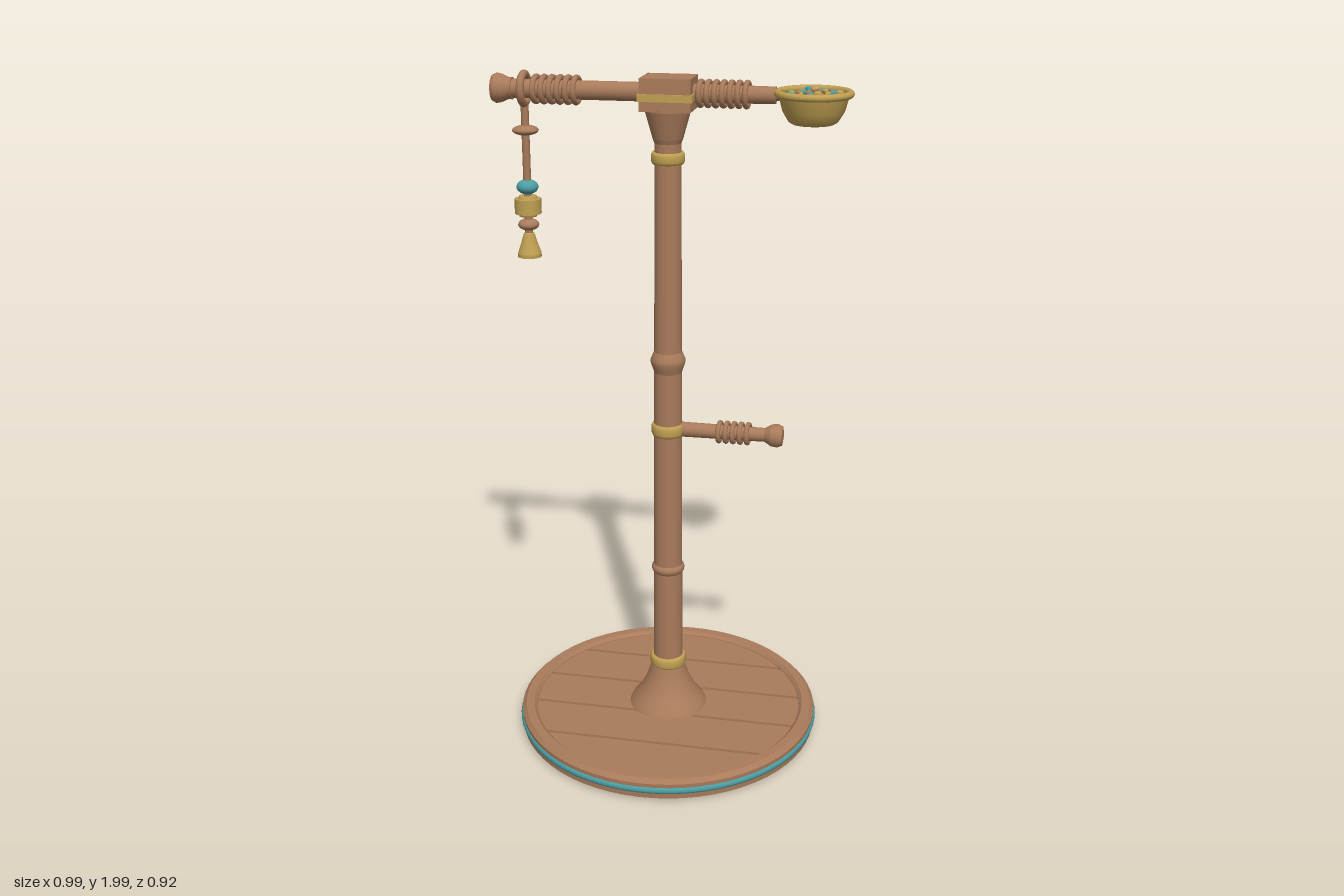
import * as THREE from 'three';

const paint = (name, color) => {
  const m = new THREE.MeshStandardMaterial({ color });
  m.name = name;
  return m;
};

export function createModel() {
  const model = new THREE.Group();
  model.name = 'perchStand';
  const wood = paint('wood', 0xa97b5b);
  const gold = paint('gold', 0xc0a052);
  const teal = paint('teal', 0x4b9ea3);
  const CX = -0.008; // post axis
  const BAR_Y = 1.948;

  const add = (name, geo, mat, x, y, z = 0, parent = model) => {
    const m = new THREE.Mesh(geo, mat);
    m.name = name;
    m.position.set(x, y, z);
    parent.add(m);
    return m;
  };
  const lathe = (pts, seg = 24) =>
    new THREE.LatheGeometry(pts.map(([r, y]) => new THREE.Vector2(r, y)), seg);
  // lathe made of separate straight bands, so the edges stay sharp
  const turned = (name, pts, mat, x, y, seg = 24, parent = model) => {
    const g = new THREE.Group();
    g.name = name;
    g.position.set(x, y, 0);
    for (let i = 0; i < pts.length - 1; i++)
      add(name + 'Band', lathe([pts[i], pts[i + 1]], seg), mat, 0, 0, 0, g);
    parent.add(g);
    return g;
  };
  // row of slightly tilted rope coils around a bar along x
  const coils = (name, x0, x1, n, y, r, tube) => {
    const geo = new THREE.TorusGeometry(r, tube, 8, 20);
    for (let i = 0; i < n; i++) {
      const c = add(name, geo, wood, x0 + (x1 - x0) * i / (n - 1), y);
      c.rotation.y = Math.PI / 2 - 0.09;
    }
  };
  const barX = (name, r0, r1, x0, x1, y) => {
    const c = add(name, new THREE.CylinderGeometry(r1, r0, x1 - x0, 16), wood, (x0 + x1) / 2, y);
    c.rotation.z = -Math.PI / 2;
  };

  // round base with raised rim
  turned('base', [[0, 0.006], [0.443, 0.006], [0.455, 0.014], [0.457, 0.062], [0.445, 0.074],
    [0.42, 0.074], [0.41, 0.064], [0.41, 0.05], [0, 0.05]], wood, CX, 0, 64);
  const band = add('baseBand', new THREE.TorusGeometry(0.449, 0.013, 10, 72), teal, CX, 0.04);
  band.rotation.x = Math.PI / 2;

  // floor planks cut to the circle, with gaps between them
  const R = 0.411, edges = [-0.25, -0.084, 0.081, 0.247], gap = 0.006;
  for (let i = 0; i <= edges.length; i++) {
    const a = i === 0 ? -R : edges[i - 1] + gap;
    const b = i === edges.length ? R : edges[i] - gap;
    const s = new THREE.Shape();
    const side = [];
    for (let k = 0; k <= 16; k++) {
      const v = a + (b - a) * k / 16;
      side.push([Math.sqrt(Math.max(0, R * R - v * v)), v]);
    }
    side.forEach(([u, v], k) => (k ? s.lineTo(u, -v) : s.moveTo(u, -v)));
    side.reverse().forEach(([u, v]) => s.lineTo(-u, -v));
    const p = add('plank', new THREE.ExtrudeGeometry(s, { depth: 0.014, bevelEnabled: false }), wood, CX, 0.048);
    p.rotation.x = -Math.PI / 2;
  }

  // flared foot, post and its swollen joints
  add('foot', lathe([[0.12, 0.06], [0.113, 0.075], [0.09, 0.105], [0.07, 0.14], [0.056, 0.18], [0.048, 0.215]], 28), wood, CX, 0);
  add('post', lathe([[0.045, 0.2], [0.043, 0.53], [0.041, 1.0], [0.039, 1.4], [0.037, 1.84]]), wood, CX, 0);
  add('joint', lathe([[0.042, 0.515], [0.048, 0.522], [0.05, 0.53], [0.048, 0.538], [0.042, 0.545]]), wood, CX, 0);
  add('joint', lathe([[0.04, 1.155], [0.045, 1.17], [0.05, 1.185], [0.05, 1.195], [0.045, 1.207], [0.039, 1.22]]), wood, CX, 0);
  for (const [y, r, h] of [[0.213, 0.055, 0.036], [0.98, 0.049, 0.036], [1.773, 0.047, 0.032]])
    add('postBand', lathe([[r - 0.016, -h / 2], [r - 0.004, -h / 2], [r, -h / 4], [r, h / 4], [r - 0.004, h / 2], [r - 0.016, h / 2]]), gold, CX, y);

  // capital and head block
  turned('capital', [[0.036, 1.81], [0.042, 1.825], [0.063, 1.9], [0.063, 1.912], [0, 1.912]], wood, CX, 0);
  add('headBlock', new THREE.BoxGeometry(0.14, 0.088, 0.118), wood, CX + 0.002, 1.947);
  add('headTrim', new THREE.BoxGeometry(0.15, 0.02, 0.128), gold, CX + 0.002, 1.94);

  // top perch with turned end and rope wraps
  barX('perch', 0.026, 0.026, -0.46, 0.0, BAR_Y);
  barX('perch', 0.026, 0.023, 0.0, 0.285, BAR_Y);
  const knob = turned('perchKnob', [[0, 0.056], [0.036, 0.056], [0.041, 0.046], [0.038, 0.03], [0.029, 0.01], [0.03, 0], [0, 0]].reverse(), wood, -0.442, BAR_Y, 18);
  knob.rotation.z = Math.PI / 2;
  coils('leftWrap', -0.375, -0.262, 6, BAR_Y, 0.033, 0.0085);
  coils('rightWrap', 0.082, 0.207, 7, BAR_Y, 0.031, 0.008);

  // small side perch
  barX('sidePerch', 0.022, 0.02, 0.02, 0.29, 0.98);
  coils('sideWrap', 0.145, 0.228, 5, 0.98, 0.027, 0.0075);
  const end = turned('sideKnob', [[0.02, 0], [0.032, 0.02], [0.034, 0.038], [0.028, 0.052], [0, 0.056]], wood, 0.277, 0.98, 16);
  end.rotation.z = -Math.PI / 2;

  // food bowl
  const BX = 0.385;
  add('bowl', lathe([[0, 1.876], [0.055, 1.876], [0.066, 1.882], [0.083, 1.91], [0.094, 1.95]], 32), gold, BX, 0);
  add('bowlInside', lathe([[0.094, 1.962], [0.087, 1.945], [0.08, 1.925]], 32), gold, BX, 0);
  const rim = add('bowlRim', new THREE.TorusGeometry(0.097, 0.01, 10, 36), gold, BX, 1.956);
  rim.rotation.x = Math.PI / 2;
  const fill = add('feed', new THREE.CircleGeometry(0.089, 32), wood, BX, 1.946);
  fill.rotation.x = -Math.PI / 2;
  barX('bowlBracket', 0.014, 0.014, 0.27, 0.3, BAR_Y);

  // seeds scattered on a spiral
  const seedGeo = new THREE.SphereGeometry(0.013, 8, 6);
  seedGeo.scale(1, 0.55, 0.55);
  for (let i = 0; i < 27; i++) {
    const r = 0.072 * Math.sqrt((i + 0.5) / 27), a = i * 2.4;
    const s = add('seed', seedGeo, [wood, teal, gold][i % 3], BX + r * Math.cos(a), 1.951 + (i % 4) * 0.002 + 0.012 * (1 - r / 0.072), r * Math.sin(a));
    s.rotation.y = i * 1.7;
  }

  // hanging toy on a ring around the perch
  const TX = -0.41;
  const ring = add('toyRing', new THREE.TorusGeometry(0.04, 0.011, 10, 24), wood, TX, BAR_Y);
  ring.rotation.y = Math.PI / 2;
  add('toyCord', new THREE.CylinderGeometry(0.011, 0.011, 0.37, 10), wood, TX, 1.725);
  const bead = (name, mat, y, r, h) =>
    add(name, new THREE.SphereGeometry(r, 18, 12), mat, TX, y).scale.set(1, h / r, 1);
  bead('toyTopBead', wood, 1.835, 0.037, 0.014);
  bead('toyTealBead', teal, 1.677, 0.031, 0.021);
  bead('toyLowerBead', wood, 1.57, 0.03, 0.017);
  turned('toyBarrel', [[0, 1.594], [0.025, 1.594], [0.028, 1.602], [0.038, 1.602], [0.038, 1.644], [0.028, 1.644], [0.025, 1.652], [0, 1.652]], gold, TX, 0, 16);
  turned('toyBell', [[0.026, 1.486], [0.034, 1.477], [0.034, 1.487], [0.024, 1.515], [0.015, 1.545], [0, 1.55]], gold, TX, 0, 16);
  add('toyBellInside', lathe([[0, 1.525], [0.016, 1.515], [0.031, 1.478]].reverse(), 16), gold, TX, 0);
  bead('toyClapper', wood, 1.492, 0.012, 0.012);

  return model;
}
